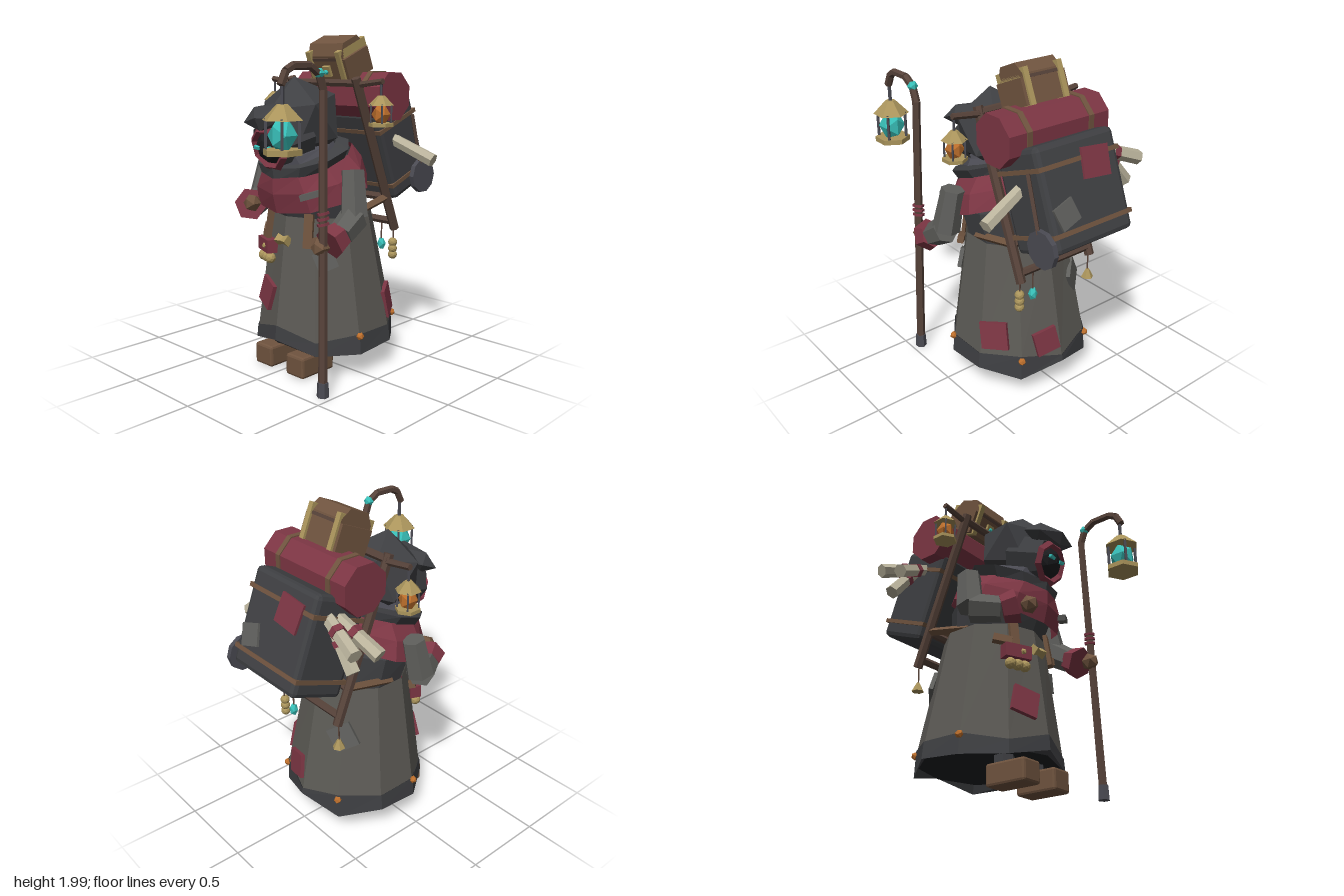
import * as THREE from 'three';
import { RoundedBoxGeometry } from 'three/addons/geometries/RoundedBoxGeometry.js';

const mat = (color) => new THREE.MeshStandardMaterial({ color, flatShading: true, side: THREE.DoubleSide });
const M = {
  cloth: mat(0x5c5a55), dark: mat(0x3f4043), black: mat(0x1d1e21), red: mat(0x7d3644), sleeve: mat(0x5f5f5c),
  wood: mat(0x57433a), leather: mat(0x70543f), gold: mat(0xab955c), cream: mat(0xbab39c),
  iron: mat(0x4b4b53), cyan: mat(0x38bfb8), orange: mat(0xbd6f2c),
};
const V = (x, y, z) => new THREE.Vector3(x, y, z);

export function createModel() {
  const root = new THREE.Group();

  const add = (name, geo, m, pos = [0, 0, 0], rot = [0, 0, 0], parent = root) => {
    const mesh = new THREE.Mesh(geo, m);
    mesh.name = name;
    mesh.position.set(...pos);
    mesh.rotation.set(...rot, 'YXZ');
    parent.add(mesh);
    return mesh;
  };
  const group = (name, pos, rx = 0) => {
    const g = new THREE.Group();
    g.name = name;
    g.position.set(...pos);
    g.rotation.x = rx;
    root.add(g);
    return g;
  };
  const box = (w, h, d) => new THREE.BoxGeometry(w, h, d);
  const cyl = (r1, r2, h, n = 6) => new THREE.CylinderGeometry(r1, r2, h, n);
  const ico = (r, d = 0) => new THREE.IcosahedronGeometry(r, d);

  // Tapered bar from a to b
  const bar = (name, a, b, r1, r2, m, n = 6, parent = root) => {
    const p = V(...a), q = V(...b), d = q.clone().sub(p);
    const mesh = add(name, cyl(r2, r1, d.length(), n), m, p.clone().add(q).multiplyScalar(0.5).toArray(), [0, 0, 0], parent);
    mesh.quaternion.setFromUnitVectors(V(0, 1, 0), d.normalize());
    return mesh;
  };

  // Skin over elliptical rings, bottom to top; slope lowers the front, wave shifts each corner
  const loft = (name, rings, n, m, caps = false) => {
    const pos = [], idx = [];
    for (const { y, z = 0, rx, rz, slope = 0, wave = [0] } of rings) {
      for (let i = 0; i < n; i++) {
        const t = (i / n) * Math.PI * 2, pz = z + rz * Math.cos(t);
        pos.push(rx * Math.sin(t), y - slope * pz + wave[Math.min(i, n - i) % wave.length], pz);
      }
    }
    for (let j = 0; j < rings.length - 1; j++) for (let i = 0; i < n; i++) {
      const k = (i + 1) % n, a = j * n + i, b = j * n + k;
      idx.push(a, b, b + n, a, b + n, a + n);
    }
    if (caps) for (let i = 1; i < n - 1; i++) {
      const o = (rings.length - 1) * n;
      idx.push(0, i + 1, i, o, o + i, o + i + 1);
    }
    const g = new THREE.BufferGeometry();
    g.setAttribute('position', new THREE.Float32BufferAttribute(pos, 3));
    g.setIndex(idx);
    g.computeVertexNormals();
    return add(name, g, m);
  };

  // Robe: skirt, ragged hem with a flat underside, torso, mantle and collars
  const hemTop = [0.03, -0.04, 0, 0, 0.02, -0.03], hemLow = [0.05, -0.01, -0.01, 0.01, -0.03, 0.04];
  loft('skirt', [{ y: 0.265, z: -0.08, rx: 0.42, rz: 0.42, wave: hemTop }, { y: 0.95, z: -0.05, rx: 0.305, rz: 0.305 }], 10, M.cloth);
  loft('hem', [
    { y: 0.19, z: -0.08, rx: 0.41, rz: 0.405 },
    { y: 0.16, z: -0.08, rx: 0.437, rz: 0.43, wave: hemLow },
    { y: 0.27, z: -0.08, rx: 0.426, rz: 0.425, wave: hemTop },
  ], 10, M.dark);
  loft('underside', [{ y: 0.185, z: -0.08, rx: 0.41, rz: 0.405 }, { y: 0.195, z: -0.08, rx: 0.41, rz: 0.405 }], 10, M.black, true);
  loft('torso', [{ y: 0.93, z: -0.03, rx: 0.28, rz: 0.27 }, { y: 1.1, z: 0, rx: 0.31, rz: 0.29, slope: 0.2 }, { y: 1.3, z: 0.06, rx: 0.24, rz: 0.24, slope: 0.35 }], 10, M.dark, true);
  loft('mantle', [{ y: 1.1, z: 0.03, rx: 0.37, rz: 0.3, slope: 0.37 }, { y: 1.22, z: 0.06, rx: 0.34, rz: 0.3, slope: 0.36 }, { y: 1.31, z: 0.08, rx: 0.26, rz: 0.28, slope: 0.35 }], 10, M.red);
  loft('collar', [{ y: 1.28, z: 0.1, rx: 0.25, rz: 0.25, slope: 0.33 }, { y: 1.36, z: 0.11, rx: 0.3, rz: 0.25, slope: 0.33 }, { y: 1.37, z: 0.12, rx: 0.2, rz: 0.2, slope: 0.33 }], 10, M.dark);
  loft('scarf', [{ y: 1.36, z: 0.14, rx: 0.21, rz: 0.21, slope: 0.3 }, { y: 1.4, z: 0.15, rx: 0.18, rz: 0.21, slope: 0.3 }, { y: 1.41, z: 0.15, rx: 0.12, rz: 0.16, slope: 0.3 }], 8, M.iron);

  // Hood with a corner at its crown, forward-leaning opening, face and glowing eyes
  add('hood', ico(1).rotateZ(0.5536).rotateY(Math.PI / 10), M.dark, [0, 1.51, 0.135], [0.2, 0, 0]).scale.set(0.25, 0.255, 0.25);
  const head = group('headOpening', [0, 1.36, 0.385], 0.3);
  add('hoodFront', new THREE.CylinderGeometry(0.135, 0.19, 0.2, 8, 1, true), M.dark, [0, 0.01, -0.1], [Math.PI / 2, 0, 0], head);
  add('hoodRim', new THREE.TorusGeometry(0.115, 0.026, 4, 8), M.red, [0, 0, 0], [0, 0, Math.PI / 8], head);
  add('face', ico(0.115, 1), M.black, [0, 0, -0.06], [0, 0, 0], head);
  for (const s of [-1, 1]) add('eye', box(0.04, 0.018, 0.02), M.cyan, [s * 0.045, 0.02, 0.045], [0, 0, s * 0.12], head);
  add('visor', ico(1), M.dark, [0, 1.54, 0.38], [0.4, 0, 0.1]).scale.set(0.19, 0.075, 0.12);

  // Legs and boots
  for (const s of [-1, 1]) {
    add('leg', cyl(0.06, 0.06, 0.08), M.dark, [s * 0.135, 0.165, 0.14]);
    add('boot', new RoundedBoxGeometry(0.145, 0.13, 0.265, 1, 0.015), M.leather, [s * 0.135, 0.075, 0.195]);
  }

  // Arms: upper sleeve, forearm, cuff, hand
  const arm = (name, pts, cuffEnd, hand) => {
    const g = group(name, [0, 0, 0]);
    bar('upperSleeve', pts[0], pts[1], 0.07, 0.085, M.sleeve, 6, g);
    bar('forearm', pts[1], pts[2], 0.085, 0.075, M.sleeve, 6, g);
    bar('cuff', pts[2], cuffEnd, 0.08, 0.1, M.red, 6, g);
    add('hand', ico(0.055), M.leather, hand, [0, 0, 0], g);
  };
  arm('rightArm', [[-0.36, 1.23, 0.06], [-0.385, 1.0, 0.1], [-0.29, 0.98, 0.25]], [-0.24, 1.0, 0.32], [-0.18, 1.02, 0.36]);
  arm('leftArm', [[0.36, 1.24, 0.075], [0.4, 0.98, 0.105], [0.41, 0.9, 0.23]], [0.4, 0.86, 0.31], [0.4, 0.85, 0.38]);
  add('shoulderTab', box(0.14, 0.035, 0.05), M.sleeve, [0.25, 1.11, 0.29], [0, 0.5, 0.3]);

  // Lantern hanging down from its hook point; k is the scale
  const lantern = (name, x, y, z, k, glow) => {
    const g = group(name, [x, y, z]);
    g.scale.setScalar(k);
    add('hanger', cyl(0.011, 0.011, 0.1, 5), M.iron, [0, -0.04, 0], [0, 0, 0], g);
    add('roof', cyl(0.03, 0.108, 0.08), M.gold, [0, -0.12, 0], [0, 0, 0], g);
    add('base', cyl(0.105, 0.105, 0.03), M.gold, [0, -0.32, 0], [0, 0, 0], g);
    add('crystal', ico(0.08), glow, [0, -0.235, 0], [0, 0, 0], g).scale.y = 1.15;
    for (let i = 0; i < 4; i++) {
      const a = (i / 4 + 0.125) * Math.PI * 2;
      add('post', cyl(0.01, 0.01, 0.17, 4), M.iron, [0.085 * Math.sin(a), -0.235, 0.085 * Math.cos(a)], [0, 0, 0], g);
    }
  };

  // Crooked staff with its lantern
  const staff = [[0.44, 0.02, 0.4], [0.4, 1.7, 0.36], [0.4, 1.78, 0.39], [0.4, 1.825, 0.46], [0.4, 1.825, 0.58], [0.4, 1.8, 0.63], [0.4, 1.73, 0.665]];
  for (let i = 0; i < staff.length - 1; i++) bar('staff', staff[i], staff[i + 1], i ? 0.023 : 0.027, 0.023, M.wood);
  add('staffFoot', cyl(0.032, 0.036, 0.085), M.iron, [0.44, 0.05, 0.4]);
  add('staffGem', ico(0.032), M.cyan, [0.4, 1.785, 0.39]);
  for (const y of [0.98, 1.01, 1.04]) add('staffWrap', cyl(0.036, 0.036, 0.014), M.red, [0.416, y, 0.376], [0.1, 0, 0.2]);
  lantern('staffLantern', 0.4, 1.715, 0.655, 1, M.cyan);

  // Carrying frame with side lanterns
  for (const s of [-1, 1]) {
    bar('frameRail', [s * 0.265, 1.75, -0.05], [s * 0.265, 0.81, -0.43], 0.029, 0.029, M.wood);
    bar('lanternArm', [s * 0.26, 1.71, -0.07], [s * 0.45, 1.735, -0.07], 0.02, 0.018, M.wood);
    lantern('sideLantern', s * 0.44, 1.71, -0.07, 0.68, M.orange);
    bar('hipStrap', [s * 0.265, 0.95, -0.02], [s * 0.265, 1.02, -0.33], 0.026, 0.026, M.leather, 4);
  }
  for (const [y, z] of [[1.72, -0.065], [1.02, -0.345], [0.86, -0.41]]) bar('frameCrossbar', [-0.28, y, z], [0.28, y, z], 0.024, 0.024, M.wood);

  // Backpack
  const pack = group('backpack', [0, 1.325, -0.48], 0.37);
  const inPack = (name, geo, m, pos, rot) => add(name, geo, m, pos, rot, pack);
  inPack('packBody', new RoundedBoxGeometry(0.56, 0.58, 0.35, 1, 0.03), M.dark, [0, 0, 0]);
  for (const y of [-0.19, 0.17]) inPack('packStrap', box(0.575, 0.025, 0.362), M.leather, [0, y, 0]);
  inPack('packPatch', box(0.19, 0.17, 0.02), M.red, [-0.1, 0.13, -0.18], [0, 0, 0.1]);
  inPack('packPatch', box(0.14, 0.13, 0.02), M.sleeve, [0.17, -0.09, -0.18], [0, 0, -0.3]);

  // Pan on the left side of the pack
  add('pan', cyl(0.11, 0.11, 0.03, 10), M.iron, [0.305, 1.13, -0.65], [0, 0, Math.PI / 2]);
  bar('panHandle', [0.31, 1.21, -0.62], [0.31, 1.52, -0.53], 0.014, 0.014, M.wood, 4);

  // Scrolls tucked into both sides
  const scroll = (a, b) => {
    bar('scroll', a, b, 0.038, 0.044, M.cream);
    const p = V(...a).lerp(V(...b), 0.36).toArray(), q = V(...a).lerp(V(...b), 0.48).toArray();
    bar('scrollBand', p, q, 0.047, 0.047, M.red);
  };
  scroll([-0.24, 1.51, -0.47], [-0.53, 1.4, -0.52]);
  scroll([-0.25, 1.49, -0.41], [-0.53, 1.34, -0.35]);
  scroll([-0.28, 1.49, -0.47], [-0.47, 1.26, -0.48]);
  bar('scroll', [0.2, 1.4, -0.4], [0.53, 1.26, -0.455], 0.038, 0.042, M.cream);

  // Bedroll with two straps
  const side = [Math.PI / 8, 0, Math.PI / 2];
  add('bedroll', cyl(0.152, 0.152, 0.71, 8), M.red, [0, 1.64, -0.295], side);
  for (const s of [-1, 1]) add('bedrollStrap', cyl(0.159, 0.159, 0.035, 8), M.leather, [s * 0.22, 1.64, -0.295], side);

  // Small chest: wide body, faceted lid, gold bands
  const chest = group('chest', [0, 1.85, -0.195], 0.4);
  const lid = new THREE.Shape([[-0.11, 0], [0.11, 0], [0.11, 0.07], [0.065, 0.135], [-0.065, 0.135], [-0.11, 0.07]].map(([x, y]) => new THREE.Vector2(x, y)));
  add('chestBody', box(0.31, 0.15, 0.22), M.leather, [0, -0.025, 0], [0, 0, 0], chest);
  add('chestLid', new THREE.ExtrudeGeometry(lid, { depth: 0.27, bevelEnabled: false }).translate(0, 0, -0.135), M.leather, [0, 0, 0], [0, Math.PI / 2, 0], chest);
  for (const s of [-1, 1]) add('chestBand', box(0.034, 0.205, 0.25), M.gold, [s * 0.118, 0, 0], [0, 0, 0], chest);
  add('chestRim', box(0.23, 0.018, 0.23), M.wood, [0, 0.05, 0], [0, 0, 0], chest);
  add('chestLock', box(0.055, 0.065, 0.02), M.gold, [0, -0.02, 0.117], [0, 0, 0], chest);
  add('lockGem', ico(0.017), M.cyan, [0, -0.02, 0.13], [0, 0, 0], chest);

  // Patches and baubles laid on the skirt at a given angle and height
  const onSkirt = (name, geo, m, t, y, roll = 0, out = 0.985) => {
    const f = (0.95 - y) / 0.68, rx = (0.305 + 0.115 * f) * out, rz = (0.305 + 0.115 * f) * out;
    add(name, geo, m, [rx * Math.sin(t), y, -0.05 - 0.03 * f + rz * Math.cos(t)], [-0.16, t, roll]);
  };
  for (const [t, y, s, roll, m] of [[-0.36, 0.465, 0.16, -0.25, M.red], [2.1, 0.4, 0.17, 0.15, M.red], [2.9, 0.36, 0.15, 0.2, M.red],
    [0.8, 0.71, 0.12, 0.4, M.sleeve], [-2.5, 0.66, 0.15, 0.5, M.sleeve]])
    onSkirt('skirtPatch', box(s, s, 0.025), m, t, y, roll);
  for (const i of [2, 4, 6, 8]) onSkirt('hemBauble', ico(0.024), M.orange, (i / 5) * Math.PI, 0.26, 0, 1.02);

  // Belt, buckle, pouch and beads
  for (const s of [-1, 1]) {
    add('beltTab', box(0.055, 0.2, 0.025), M.leather, [s * 0.165, 0.88, 0.235], [-0.15, s * 0.4, 0]);
    add('buckleWing', cyl(0.022, 0.036, 0.045, 4), M.gold, [s * 0.02, 0.81, 0.28], [0, 0, s * Math.PI / 2]);
    add('beltFlap', box(0.11, 0.045, 0.04), M.leather, [s * 0.225, 0.83, 0.2], [-0.15, s * 0.8, s * 0.2]);
  }
  add('pouch', box(0.165, 0.08, 0.07), M.red, [-0.165, 0.755, 0.25], [0, -0.4, 0]);
  add('pouchClasp', ico(0.02), M.gold, [-0.15, 0.755, 0.29]);
  for (let i = -1; i < 2; i++) add('pouchBead', ico(0.034, 1), M.gold, [-0.165 + i * 0.045, 0.68, 0.26 + i * 0.015]);

  // Charms hung from the frame
  for (let i = 0; i < 3; i++) add('bead', ico(0.029, 1), M.gold, [0.265, 0.725 - i * 0.04, -0.415]);
  for (const [x, y] of [[0.265, 0.73], [0.17, 0.72], [-0.265, 0.7]]) bar('charmCord', [x, 0.85, -0.42], [x, y, -0.418], 0.006, 0.006, M.wood, 4);
  add('charmGem', ico(0.028), M.cyan, [0.17, 0.7, -0.42]).scale.y = 1.5;
  add('bell', cyl(0.01, 0.038, 0.055), M.gold, [-0.265, 0.68, -0.42]);

  return root;
}
